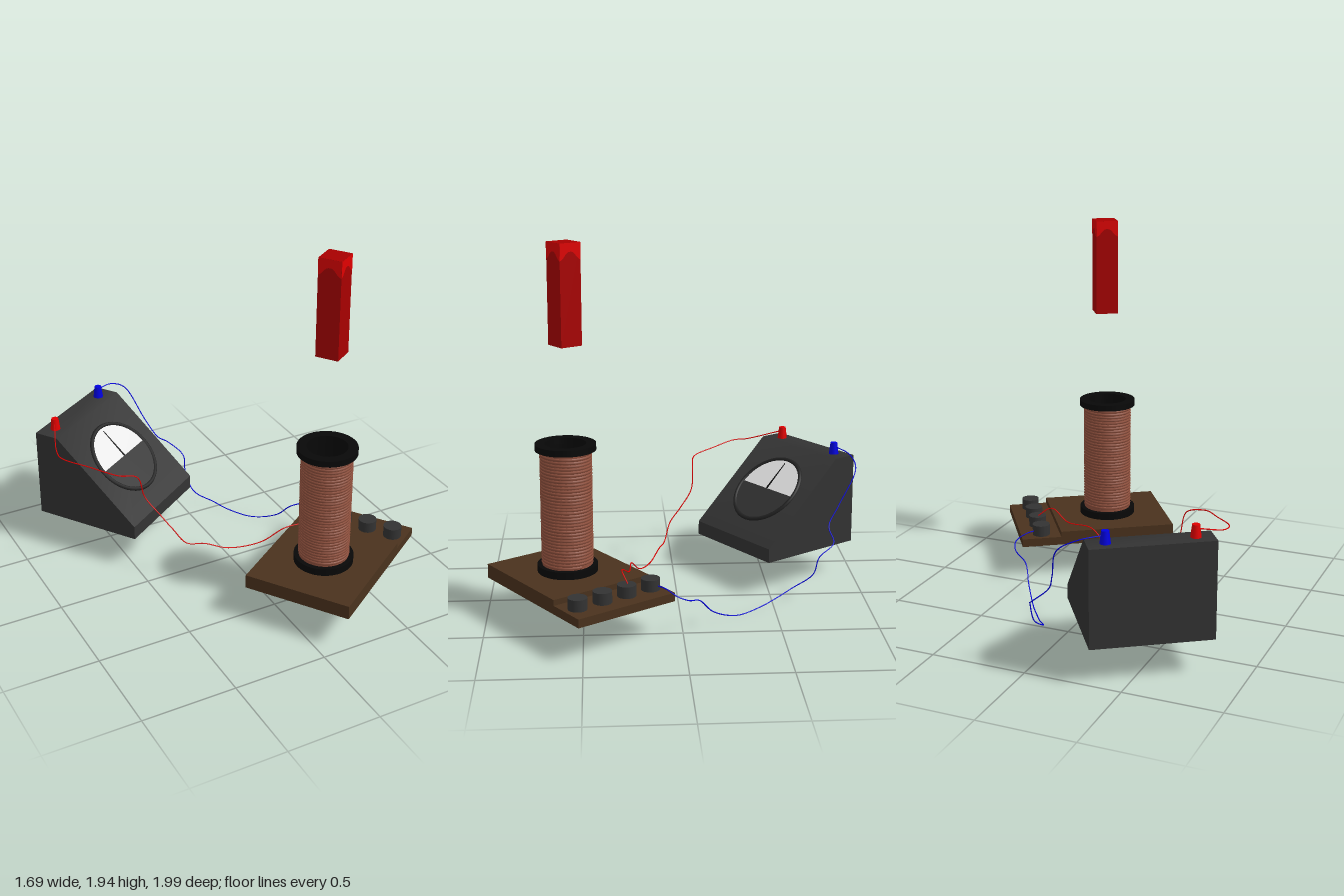
import * as THREE from 'three';
import { toCreasedNormals } from 'three/addons/utils/BufferGeometryUtils.js';

const mat = (name, color) => {
  const m = new THREE.MeshStandardMaterial({ color });
  m.name = name;
  return m;
};

export function createModel() {
  const grey = mat('caseGrey', 0x333333);
  const rim = mat('rimGrey', 0x222222);
  const black = mat('black', 0x080808);
  const white = mat('dialWhite', 0xeeeeee);
  const red = mat('red', 0xe00000);
  const darkRed = mat('darkRed', 0xa80000);
  const blue = mat('blue', 0x0000e0);
  const wood = mat('wood', 0x4a321d);
  const copper = mat('copper', 0x8f503d);

  const model = new THREE.Group();
  const TURN = THREE.MathUtils.degToRad(34);
  const FLOOR = 0.179;

  const group = (name, parent, x, y, z) => {
    const g = new THREE.Group();
    g.name = name;
    g.position.set(x, y, z);
    parent.add(g);
    return g;
  };
  const add = (name, parent, geo, material, x = 0, y = 0, z = 0) => {
    const m = new THREE.Mesh(geo, material);
    m.name = name;
    m.position.set(x, y, z);
    parent.add(m);
    return m;
  };

  // Meter: wedge-shaped case, softly shaded where the top meets the slope
  const meter = group('meter', model, -0.419, 0, -0.575);
  meter.rotation.y = TURN;
  const side = new THREE.Shape([
    [-0.305, FLOOR], [0.305, FLOOR], [0.305, 0.255], [-0.17, 0.678], [-0.305, 0.678],
  ].map(([z, y]) => new THREE.Vector2(z, y)));
  const caseGeo = new THREE.ExtrudeGeometry(side, { depth: 0.61, bevelEnabled: false });
  caseGeo.rotateY(-Math.PI / 2);
  add('meterCase', meter, toCreasedNormals(caseGeo, 0.77), grey, 0.305);

  // Dial on the sloping face: +y runs up the slope, +z points out
  const dial = group('dial', meter, 0, 0.4755, 0.058);
  dial.rotation.x = -Math.atan2(0.475, 0.423);
  add('dialRim', dial, new THREE.TorusGeometry(0.207, 0.012, 8, 48), rim);
  add('dialScale', dial, new THREE.CircleGeometry(0.199, 40, 0, Math.PI), white, 0, 0, 0.004);
  add('dialCover', dial, new THREE.CircleGeometry(0.199, 40, Math.PI, Math.PI), grey, 0, 0, 0.005);
  const needle = new THREE.Shape([[-0.007, 0], [0.007, 0], [0.003, 0.18], [-0.003, 0.18]]
    .map(([x, y]) => new THREE.Vector2(x, y)));
  add('needle', dial, new THREE.ShapeGeometry(needle), black, 0, 0, 0.008);

  // Meter terminals
  const plug = new THREE.CylinderGeometry(0.019, 0.027, 0.066, 20);
  add('redTerminal', meter, plug, red, -0.215, 0.709, -0.238);
  add('blueTerminal', meter, plug, blue, 0.215, 0.709, -0.238);

  // Stepped wooden base
  const stand = group('coilStand', model, 0.33, 0, 0.519);
  stand.rotation.y = TURN;
  add('baseBoard', stand, new THREE.BoxGeometry(0.637, 0.075, 0.575), wood, -0.1085, FLOOR + 0.0375, 0);
  add('terminalBoard', stand, new THREE.BoxGeometry(0.217, 0.045, 0.575), wood, 0.3185, FLOOR + 0.0225, 0);
  for (let i = 0; i < 4; i++) {
    add('standTerminal', stand, new THREE.CylinderGeometry(0.048, 0.048, 0.06, 24), grey,
      0.313, 0.254, -0.219 + i * 0.145);
  }

  // Coil: hollow black bobbin wound with copper wire
  const coil = group('coil', stand, -0.105, 0, 0);
  const ring = (r0, r1, y0, y1) => {
    const s = new THREE.Shape().absarc(0, 0, r1, 0, Math.PI * 2);
    s.holes.push(new THREE.Path().absarc(0, 0, r0, 0, Math.PI * 2, true));
    return new THREE.ExtrudeGeometry(s, { depth: y1 - y0, bevelEnabled: false, curveSegments: 24 })
      .rotateX(-Math.PI / 2).translate(0, y0, 0);
  };
  add('bottomFlange', coil, ring(0.105, 0.155, 0.254, 0.293), black);
  add('topFlange', coil, ring(0.105, 0.155, 0.895, 0.928), black);
  add('bobbinTube', coil, ring(0.105, 0.115, 0.293, 0.895), black);
  add('windingCore', coil, new THREE.CylinderGeometry(0.1305, 0.1305, 0.602, 32, 1, true), copper, 0, 0.594, 0);

  const TURNS = 36;
  class Helix extends THREE.Curve {
    getPoint(t, out = new THREE.Vector3()) {
      const a = t * TURNS * Math.PI * 2;
      return out.set(Math.cos(a) * 0.1245, 0.302 + t * 0.585, Math.sin(a) * 0.1245);
    }
  }
  add('winding', coil, new THREE.TubeGeometry(new Helix(), TURNS * 28, 0.0095, 8), copper);

  // Bar magnet hanging above the coil, with a bright arched band on each face
  const magnet = group('magnet', stand, -0.092, 1.685, -0.002);
  add('magnetBar', magnet, new THREE.BoxGeometry(0.12, 0.51, 0.12), darkRed);
  const band = new THREE.Shape();
  band.moveTo(-0.06, 0.255);
  band.lineTo(-0.06, 0.17);
  band.bezierCurveTo(-0.03, 0.18, -0.03, 0.212, 0, 0.212);
  band.bezierCurveTo(0.03, 0.212, 0.03, 0.18, 0.06, 0.17);
  band.lineTo(0.06, 0.255);
  const bandGeo = new THREE.ShapeGeometry(band).translate(0, 0, 0.0612);
  for (let i = 0; i < 4; i++) {
    add('magnetBand', magnet, bandGeo, red).rotation.y = i * Math.PI / 2;
  }

  // Loose wires from the meter to the stand
  const wire = (name, material, points) => {
    const curve = new THREE.CatmullRomCurve3(points.map((p) => new THREE.Vector3(...p)), false, 'centripetal');
    add(name, model, new THREE.TubeGeometry(curve, 160, 0.003, 6), material);
  };
  wire('redWire', red, [
    [-0.735, 0.72, -0.65], [-0.805, 0.655, -0.45], [-0.805, 0.65, -0.38], [-0.7, 0.635, -0.25],
    [-0.59, 0.615, -0.13], [-0.49, 0.585, -0.115], [-0.455, 0.46, -0.105], [-0.4, 0.37, -0.04],
    [-0.355, 0.3, 0.02], [-0.29, 0.21, 0.055], [-0.2, 0.2, 0.09], [-0.085, 0.165, 0.14],
    [0.08, 0.19, 0.205], [0.2, 0.268, 0.25], [0.35, 0.275, 0.265], [0.47, 0.328, 0.305],
    [0.545, 0.28, 0.275],
  ]);
  wire('blueWire', blue, [
    [-0.378, 0.72, -0.894], [-0.265, 0.7, -0.963], [-0.17, 0.645, -0.98], [-0.095, 0.465, -0.88],
    [-0.045, 0.365, -0.82], [0.035, 0.295, -0.835], [0.088, 0.235, -0.75], [0.085, 0.14, -0.72],
    [0.085, 0.065, -0.61], [0.16, 0.03, -0.5], [0.21, 0.009, -0.42], [0.3, 0.004, -0.29],
    [0.39, 0.065, -0.16], [0.44, 0.145, -0.09], [0.535, 0.185, -0.025], [0.558, 0.215, 0.03],
    [0.52, 0.245, 0.09], [0.466, 0.25, 0.16],
  ]);

  return model;
}
